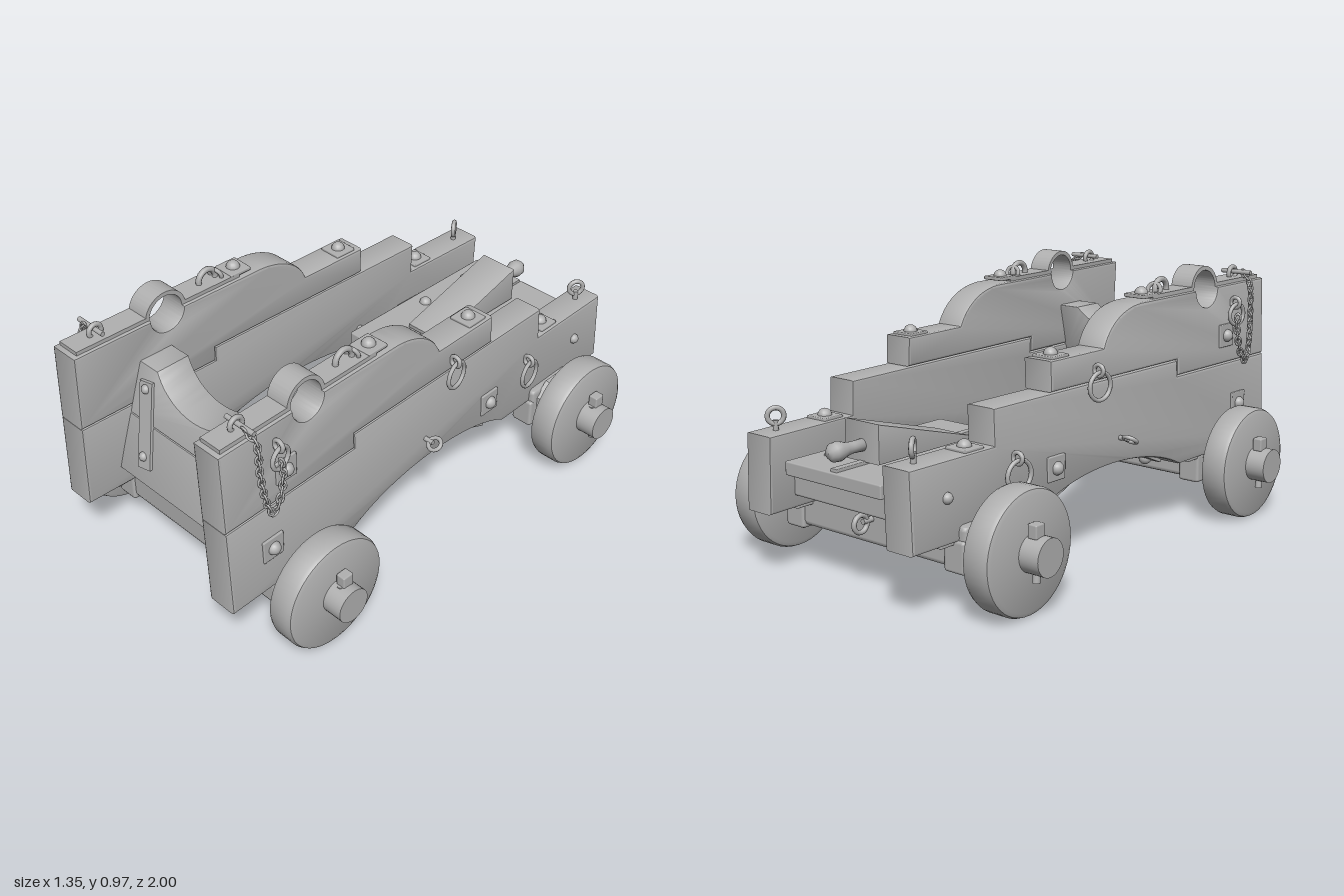
import * as THREE from 'three';
import { toCreasedNormals } from 'three/addons/utils/BufferGeometryUtils.js';
import { RoundedBoxGeometry } from 'three/addons/geometries/RoundedBoxGeometry.js';

export function createModel() {
  const model = new THREE.Group();
  model.name = 'gunCarriage';
  const grey = new THREE.MeshStandardMaterial({ color: 0xb0b0b0 });
  grey.name = 'plainGrey';

  const add = (name, geo, x = 0, y = 0, z = 0, rx = 0, ry = 0, rz = 0) => {
    const m = new THREE.Mesh(geo, grey);
    m.name = name;
    m.position.set(x, y, z);
    m.rotation.set(rx, ry, rz);
    model.add(m);
    return m;
  };
  const box = (w, h, d, r = 0.006) => new RoundedBoxGeometry(w, h, d, 1, r);
  const ring = (r, t) => new THREE.TorusGeometry(r, t, 8, 24);
  const rod = (r, len, n = 16) => new THREE.CylinderGeometry(r, r, len, n);
  const dome = (r) => new THREE.SphereGeometry(r, 14, 6, 0, Math.PI * 2, 0, Math.PI / 2);
  const outline = (pts) => new THREE.Shape(pts.map((p) => new THREE.Vector2(...p)));
  const H = Math.PI / 2;

  // Centred extrusion with a small bevel
  const slab = (shape, depth, bevel) => {
    const g = new THREE.ExtrudeGeometry(shape, {
      depth: depth - 2 * bevel, curveSegments: 24, bevelEnabled: bevel > 0,
      bevelThickness: bevel, bevelSize: bevel, bevelOffset: -bevel, bevelSegments: 2,
    });
    return g.translate(0, 0, -depth / 2 + bevel);
  };
  const moveVertices = (g, rule) => {
    const p = g.attributes.position;
    const v = new THREE.Vector3();
    for (let i = 0; i < p.count; i++) {
      rule(v.fromBufferAttribute(p, i));
      p.setXYZ(i, v.x, v.y, v.z);
    }
    return toCreasedNormals(g, 0.5);
  };

  // Cheeks converge to the rear and lean slightly inward
  const YAW = 0.0275;
  const cheekX = (y, z) => 0.348 + YAW * z - (y - 0.5) * 0.04;
  const cheekSlab = (shape, width, bevel, s) =>
    moveVertices(slab(shape, width, bevel).rotateY(-H), (v) => { v.x += s * cheekX(v.y, v.z); });

  // Profiles drawn as (z, y)
  const lower = outline([[1, 0.245], [1, 0.585], [0.41, 0.585], [0.41, 0.645], [-0.61, 0.645],
    [-0.61, 0.52], [-1, 0.52], [-1, 0.245], [-0.4, 0.245]]);
  lower.bezierCurveTo(-0.2, 0.36, 0.2, 0.36, 0.42, 0.245);
  const upper = outline([[1, 0.587], [1, 0.89], [0.68, 0.89]]);
  upper.absarc(0.61, 0.89, 0.07, 0, Math.PI, true);
  upper.lineTo(0.19, 0.89);
  upper.bezierCurveTo(0.08, 0.885, 0, 0.83, -0.03, 0.755);
  [[-0.32, 0.755], [-0.32, 0.647], [0.41, 0.647], [0.41, 0.587]].forEach((p) => upper.lineTo(...p));
  const cap = outline([[0.28, 0.89], [0.54, 0.89]]);
  cap.absarc(0.61, 0.89, 0.07, Math.PI, 0, true);
  [[0.98, 0.89], [0.98, 0.905], [0.694, 0.905]].forEach((p) => cap.lineTo(...p));
  cap.absarc(0.61, 0.89, 0.086, 0.175, Math.PI - 0.175, false);
  cap.lineTo(0.28, 0.905);

  // Wheel: rounded disc turned about its axle
  const wheelGeo = toCreasedNormals(new THREE.LatheGeometry(
    [[0, -0.055], [0.195, -0.055], [0.209, -0.049], [0.215, -0.035], [0.215, 0.035],
      [0.209, 0.049], [0.195, 0.055], [0, 0.055]].map((p) => new THREE.Vector2(...p)), 48), 0.6);

  for (const s of [1, -1]) {
    const mid = (y, z) => s * cheekX(y, z);
    const face = (y, z, out = 0) => s * (cheekX(y, z) + 0.06 + out);

    add('lowerCheek', cheekSlab(lower, 0.12, 0.01, s));
    add('upperCheek', cheekSlab(upper, 0.12, 0.01, s));
    add('trunnionCap', cheekSlab(cap, 0.092, 0, s));

    // Bolted plates on the stepped tops
    for (const [z, y] of [[0.27, 0.903], [-0.25, 0.757], [-0.69, 0.522]]) {
      add('topPlate', box(0.092, 0.014, 0.09, 0.004), mid(y, z), y, z, 0, s * YAW);
      add('topBolt', dome(0.026), mid(y, z), y + 0.005, z);
    }
    // Bolted plates on the outer faces
    for (const [z, y] of [[0.73, 0.695], [0.81, 0.415], [-0.31, 0.385]]) {
      add('sidePlate', box(0.014, 0.09, 0.09, 0.004), face(y, z), y, z, 0, s * YAW);
      add('sideBolt', dome(0.025), face(y, z, 0.005), y, z, 0, 0, -s * H);
    }
    add('rearSideBolt', dome(0.02), face(0.4, -0.84), 0.4, -0.84, 0, 0, -s * H);

    // Hanging rings with their eyes
    for (const [z, y, r] of [[0.77, 0.775, 0.04], [-0.09, 0.635, 0.05], [-0.525, 0.41, 0.052]]) {
      add('hangingRing', ring(r, 0.008), face(y, z, 0.025), y, z, 0, H + s * 0.15);
      add('ringEye', ring(0.02, 0.008), face(y + r, z, 0.02), y + r + 0.005, z);
    }
    // Eye bolt at the side
    add('eyeBoltStem', rod(0.009, 0.05), face(0.42, 0.05, 0.012), 0.42, 0.05, 0, 0, H);
    add('eyeBolt', ring(0.024, 0.008), face(0.42, 0.05, 0.045), 0.42, 0.05, H, s * 0.0, 0).rotation.x = H + 0.6;
    // Upright rear eye
    add('rearEyeStem', rod(0.01, 0.05), mid(0.53, -0.92), 0.53, -0.92);
    add('rearEye', ring(0.028, 0.009), mid(0.565, -0.92), 0.57, -0.92, 0, H - s * 0.6);
    // Staple and key loops on the cap strap
    add('capStaple', ring(0.038, 0.011), mid(0.91, 0.39), 0.91, 0.39, 0, H);
    add('capKey', ring(0.024, 0.008), mid(0.91, 0.35), 0.912, 0.35, 0.3, 0.3);
    add('capEye', ring(0.025, 0.009), mid(0.91, 0.87), 0.918, 0.87, 0, H);
    add('capPin', rod(0.009, 0.13), mid(0.92, 0.87) + s * 0.02, 0.925, 0.87, 0, 0, H);

    // Chain hanging from the cap pin to the side ring
    const path = new THREE.CatmullRomCurve3([[0.92, 0.875, -0.01], [0.89, 0.865, 0.022], [0.75, 0.862, 0.028],
      [0.62, 0.84, 0.03], [0.585, 0.82, 0.03], [0.62, 0.79, 0.03], [0.72, 0.765, 0.03], [0.76, 0.77, 0.03]]
      .map(([y, z, out]) => new THREE.Vector3(face(y, z, out), y, z)));
    const links = 24;
    for (let i = 0; i <= links; i++) {
      const p = path.getPointAt(i / links);
      const m = add('chainLink', new THREE.TorusGeometry(0.011, 0.004, 6, 12).scale(1.5, 1, 1), p.x, p.y, p.z);
      m.quaternion.setFromUnitVectors(new THREE.Vector3(1, 0, 0), path.getTangentAt(i / links));
      m.rotateX((i % 2) * H + 0.4);
    }

    // Bolts under the arch
    for (const [z, y, tilt] of [[0.28, 0.292, 0.4], [-0.26, 0.292, -0.4]]) {
      add('archPlate', box(0.09, 0.014, 0.09, 0.004), mid(y, z), y, z, tilt, s * YAW);
      add('archBolt', dome(0.024), mid(y, z), y - 0.005, z, Math.PI + tilt);
    }

    // Wheels, spindles, linch pins and axle straps
    for (const z of [0.68, -0.678]) {
      add('wheel', wheelGeo, s * 0.545, 0.22, z, 0, 0, H);
      add('spindle', toCreasedNormals(rod(0.065, 0.26, 32), 0.6), s * 0.547, 0.223, z, 0, 0, H);
      add('linchPin', box(0.038, 0.05, 0.045), s * 0.626, 0.305, z - 0.01);
      add('linchPinShank', rod(0.013, 0.16), s * 0.626, 0.21, z, 0.12);
      add('axleShoulder', toCreasedNormals(new THREE.CylinderGeometry(0.085, 0.1, 0.06, 8)
        .rotateY(Math.PI / 8), 0.3), s * 0.45, 0.223, z, 0, 0, -s * H);
      add('axleStrap', box(0.09, 0.115, 0.25, 0.012), s * 0.378, 0.192, z);
      for (const dz of [-0.14, 0.14]) {
        add('strapFoot', box(0.09, 0.016, 0.09, 0.004), mid(0.24, z + dz), 0.24, z + dz);
      }
      for (const dx of [-0.025, 0.025]) {
        add('strapBolt', dome(0.02), s * (0.362 + dx), 0.137, z, Math.PI);
      }
    }

    // Slanted irons on the front board
    const iron = slab(outline([[s * 0.275, 0.7], [s * 0.212, 0.712], [s * 0.155, 0.408], [s * 0.218, 0.396]]), 0.014, 0);
    add('boardIron', moveVertices(iron, (v) => { v.z += 0.864 - (v.y - 0.335) * 0.285; }));
    for (const [x, y] of [[0.24, 0.68], [0.2, 0.443]]) {
      add('ironBolt', dome(0.018), s * x, y, 0.868 - (y - 0.335) * 0.285, H - 0.28);
    }
    // Bolts on the bed
    for (const z of [-0.82, -0.575]) add('bedBolt', dome(0.024), s * 0.16, 0.438, z);
  }

  // Leaning front board in two planks with a barrel hollow
  const boardTop = outline([[-0.31, 0.557], [0.31, 0.557], [0.31, 0.755], [0.205, 0.755]]);
  boardTop.bezierCurveTo(0.11, 0.635, -0.11, 0.635, -0.205, 0.755);
  boardTop.lineTo(-0.31, 0.755);
  const boardBottom = outline([[-0.32, 0.335], [0.32, 0.335], [0.32, 0.555], [-0.32, 0.555]]);
  for (const [name, shape] of [['frontBoardTop', boardTop], ['frontBoardBottom', boardBottom]]) {
    add(name, moveVertices(slab(shape, 0.14, 0.006), (v) => { v.z += 0.79 - (v.y - 0.335) * 0.285; }));
  }

  // Axle beams and rear bolster
  for (const z of [0.68, -0.678]) add('axleBeam', box(0.85, 0.153, 0.23, 0.02), 0, 0.222, z);
  add('rearBolster', box(0.56, 0.1, 0.36, 0.01), 0, 0.34, -0.71);
  add('rearRingEye', rod(0.01, 0.05), 0, 0.24, -0.81, H);
  add('rearRing', ring(0.03, 0.009), 0, 0.235, -0.845, 0, H);

  // Cross rod, bed and guide rail
  add('crossRod', rod(0.015, 0.8), 0, 0.375, -0.32, 0, 0, H);
  add('bed', box(0.45, 0.05, 0.76, 0.006), 0, 0.415, -0.59);
  add('guideRail', box(0.03, 0.014, 0.74, 0.003), 0, 0.444, -0.59);

  // Elevating wedge with turned handle
  const wedge = slab(outline([[-0.83, 0.448], [-0.39, 0.448], [-0.39, 0.463], [-0.83, 0.586]]), 0.16, 0.004);
  add('wedge', toCreasedNormals(wedge.rotateY(-H), 0.5));
  const handle = [[0, 0], [0.022, 0], [0.02, 0.05], [0.024, 0.08], [0.034, 0.11], [0.032, 0.135], [0.02, 0.15], [0, 0.154]];
  add('wedgeHandle', new THREE.LatheGeometry(handle.map((p) => new THREE.Vector2(...p)), 20), 0, 0.505, -0.825, -H);

  return model;
}
